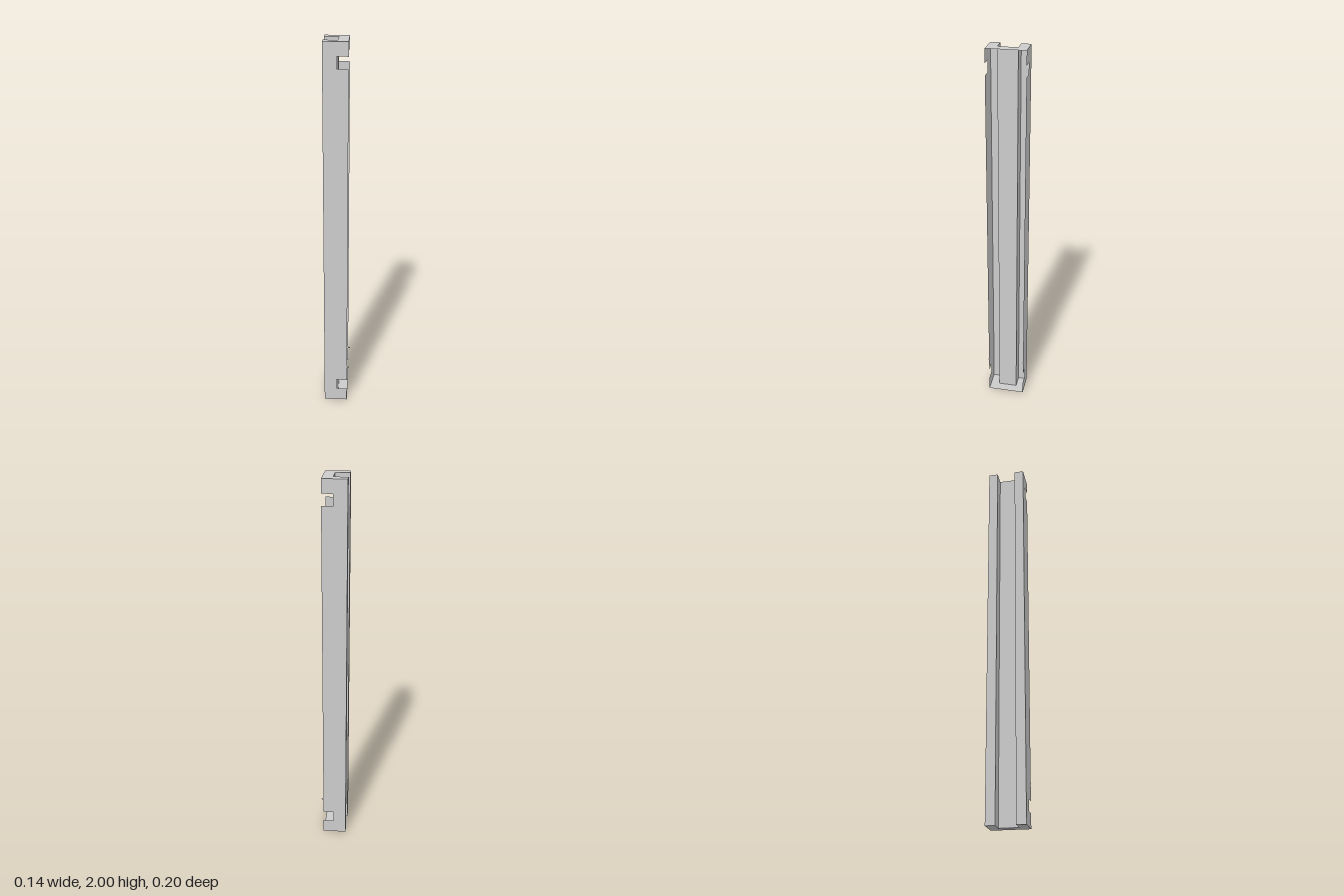
import * as THREE from 'three';

// Hollow sheet channel, U-shaped in plan, open along its +x side
const X0 = -0.068, X1 = 0.057, WEB = 0.005, ZO = 0.099, ZI = 0.05, H = 2;

const material = new THREE.MeshStandardMaterial({ color: 0xcccccc, side: THREE.DoubleSide, flatShading: true });

function shapeFrom(points) {
  return new THREE.Shape(points.map(([x, y]) => new THREE.Vector2(x, y)));
}

export function createModel() {
  const group = new THREE.Group();

  function add(name, geometry) {
    const mesh = new THREE.Mesh(geometry, material);
    mesh.name = name;
    group.add(mesh);
    return mesh;
  }

  // Outer wall with two edge notches and a tiny tab
  const wall = new THREE.ShapeGeometry(shapeFrom([
    [X0, 0], [X1, 0],
    [X1, 0.074], [0, 0.074], [0, 0.132], [X1, 0.132],
    [X1, 0.215], [0.068, 0.217], [0.068, 0.223], [X1, 0.225],
    [X1, 1.873], [0, 1.873], [0, 1.931], [X1, 1.931],
    [X1, H], [X0, H],
  ]));

  for (const [side, s] of [['front', 1], ['back', -1]]) {
    add(side + 'OuterWall', wall).position.z = s * ZO;

    // Inner wall lining the groove
    const inner = add(side + 'InnerWall', new THREE.PlaneGeometry(WEB - X0, H));
    inner.position.set((WEB + X0) / 2, H / 2, s * ZI);
    if (s > 0) inner.rotation.y = Math.PI;

    // Narrow edge joining inner and outer walls
    const edge = add(side + 'FlangeEdge', new THREE.PlaneGeometry(ZO - ZI, H));
    edge.position.set(X0, H / 2, s * (ZO + ZI) / 2);
    edge.rotation.y = -Math.PI / 2;
  }

  // Web at the bottom of the groove
  const web = add('web', new THREE.PlaneGeometry(2 * ZI, H));
  web.position.set(WEB, H / 2, 0);
  web.rotation.y = -Math.PI / 2;

  // U-shaped end caps
  const cap = new THREE.ShapeGeometry(shapeFrom([
    [X0, -ZO], [X1, -ZO], [X1, ZO], [X0, ZO],
    [X0, ZI], [WEB, ZI], [WEB, -ZI], [X0, -ZI],
  ]));
  for (const [name, y, r] of [['topCap', H, -1], ['bottomCap', 0, 1]]) {
    const mesh = add(name, cap);
    mesh.position.y = y;
    mesh.rotation.x = r * Math.PI / 2;
  }

  return group;
}
